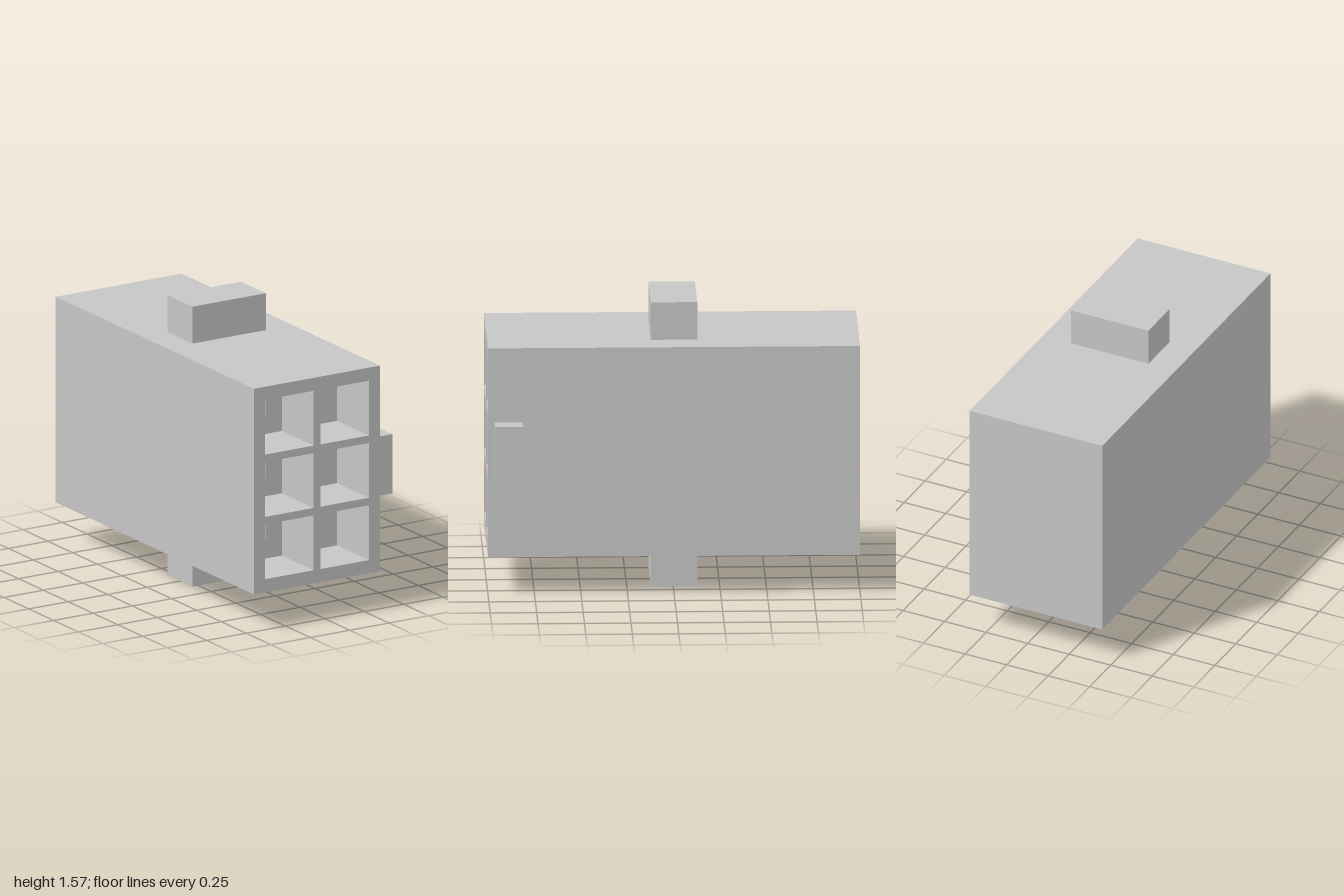
import * as THREE from 'three';

const BODY = { x0: -0.45, x1: 0.35, y0: 0.21, y1: 1.365 };
const COLUMNS = [-0.225, 0.125];
const ROWS = [0.438, 0.788, 1.138];

// Traces a rectangle onto a Shape or Path
function rect(path, x0, y0, x1, y1) {
  path.moveTo(x0, y0);
  path.lineTo(x1, y0);
  path.lineTo(x1, y1);
  path.lineTo(x0, y1);
  path.closePath();
  return path;
}

export function createModel() {
  const model = new THREE.Group();
  const plastic = new THREE.MeshStandardMaterial({ color: 0xc6c6c6 });
  plastic.name = 'light grey plastic';

  function box(name, x0, x1, y0, y1, z0, z1) {
    const mesh = new THREE.Mesh(new THREE.BoxGeometry(x1 - x0, y1 - y0, z1 - z0), plastic);
    mesh.position.set((x0 + x1) / 2, (y0 + y1) / 2, (z0 + z1) / 2);
    mesh.name = name;
    model.add(mesh);
  }

  // Slice of the housing pierced by a grid of square openings
  function piercedSlice(name, size, z0, z1) {
    const shape = rect(new THREE.Shape(), BODY.x0, BODY.y0, BODY.x1, BODY.y1);
    for (const x of COLUMNS) {
      for (const y of ROWS) {
        const h = size / 2;
        shape.holes.push(rect(new THREE.Path(), x - h, y - h, x + h, y + h));
      }
    }
    const geometry = new THREE.ExtrudeGeometry(shape, { depth: z1 - z0, bevelEnabled: false });
    const mesh = new THREE.Mesh(geometry, plastic);
    mesh.position.z = z0;
    mesh.name = name;
    model.add(mesh);
  }

  // Housing: solid rear, narrow terminal holes, wide front pockets
  box('rearHousing', BODY.x0, BODY.x1, BODY.y0, BODY.y1, -1, 0.36);
  piercedSlice('terminalHoles', 0.1, 0.36, 0.68);
  piercedSlice('frontPockets', 0.308, 0.68, 1);

  // Mounting tabs above and below, and the latch on the side
  box('topTab', -0.287, 0.18, BODY.y1, 1.572, -0.13, 0.12);
  box('bottomTab', -0.287, 0.18, 0, BODY.y0, -0.13, 0.12);
  box('sideLatch', BODY.x1, 0.45, 0.622, 0.955, 0.815, 0.965);

  return model;
}
